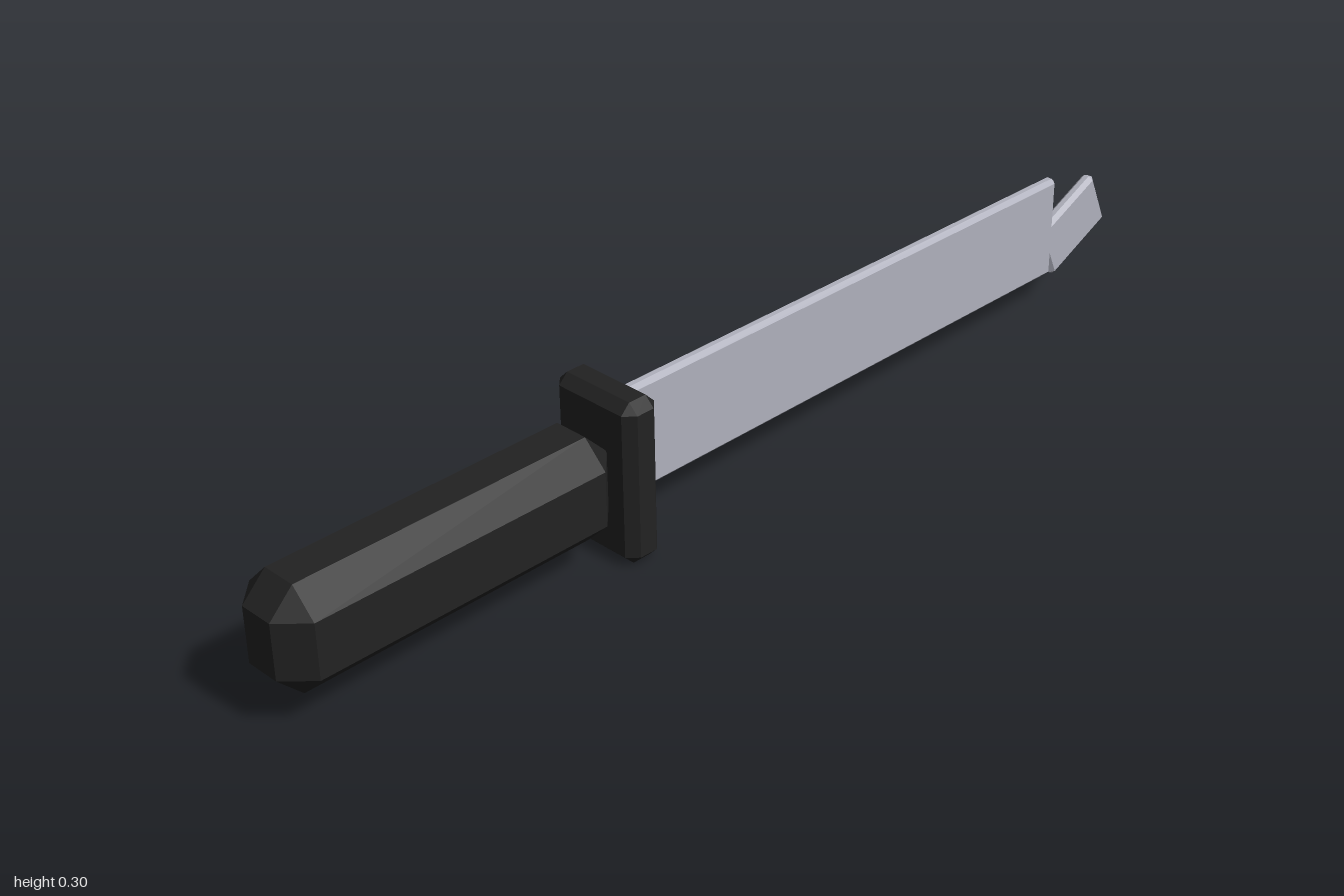
import * as THREE from 'three';
import { ConvexGeometry } from 'three/addons/geometries/ConvexGeometry.js';

// Box with every edge cut at 45 degrees
function chamferBox(name, size, centre, cut, material) {
  const half = size.map((s) => s / 2);
  const points = [];
  for (const sx of [-1, 1]) for (const sy of [-1, 1]) for (const sz of [-1, 1]) {
    const sign = [sx, sy, sz];
    for (let axis = 0; axis < 3; axis++) {
      const p = half.map((h, i) => sign[i] * (i === axis ? h : h - cut));
      points.push(new THREE.Vector3(...p));
    }
  }
  const mesh = new THREE.Mesh(new ConvexGeometry(points), material);
  mesh.name = name;
  mesh.position.set(...centre);
  return mesh;
}

export function createModel() {
  const model = new THREE.Group();
  model.name = 'machete';
  const black = new THREE.MeshStandardMaterial({ color: 0x222222, flatShading: true });
  const steel = new THREE.MeshStandardMaterial({ color: 0xb0b1bd, flatShading: true });

  // Chunky grip and the guard in front of it
  model.add(chamferBox('handle', [0.154, 0.19, 0.65], [0, 0.15, 0.675], 0.045, black));
  model.add(chamferBox('guard', [0.178, 0.298, 0.071], [0, 0.149, 0.318], 0.018, black));

  // Long flat blade, rooted inside the guard
  model.add(chamferBox('blade', [0.026, 0.2, 1.13], [0, 0.175, -0.265], 0.008, steel));

  // Tilted tip that leaves a notch above it
  const tip = chamferBox('bladeTip', [0.026, 0.116, 0.174], [0, 0.155, -0.894], 0.008, steel);
  tip.rotation.x = THREE.MathUtils.degToRad(24.5);
  model.add(tip);

  return model;
}
